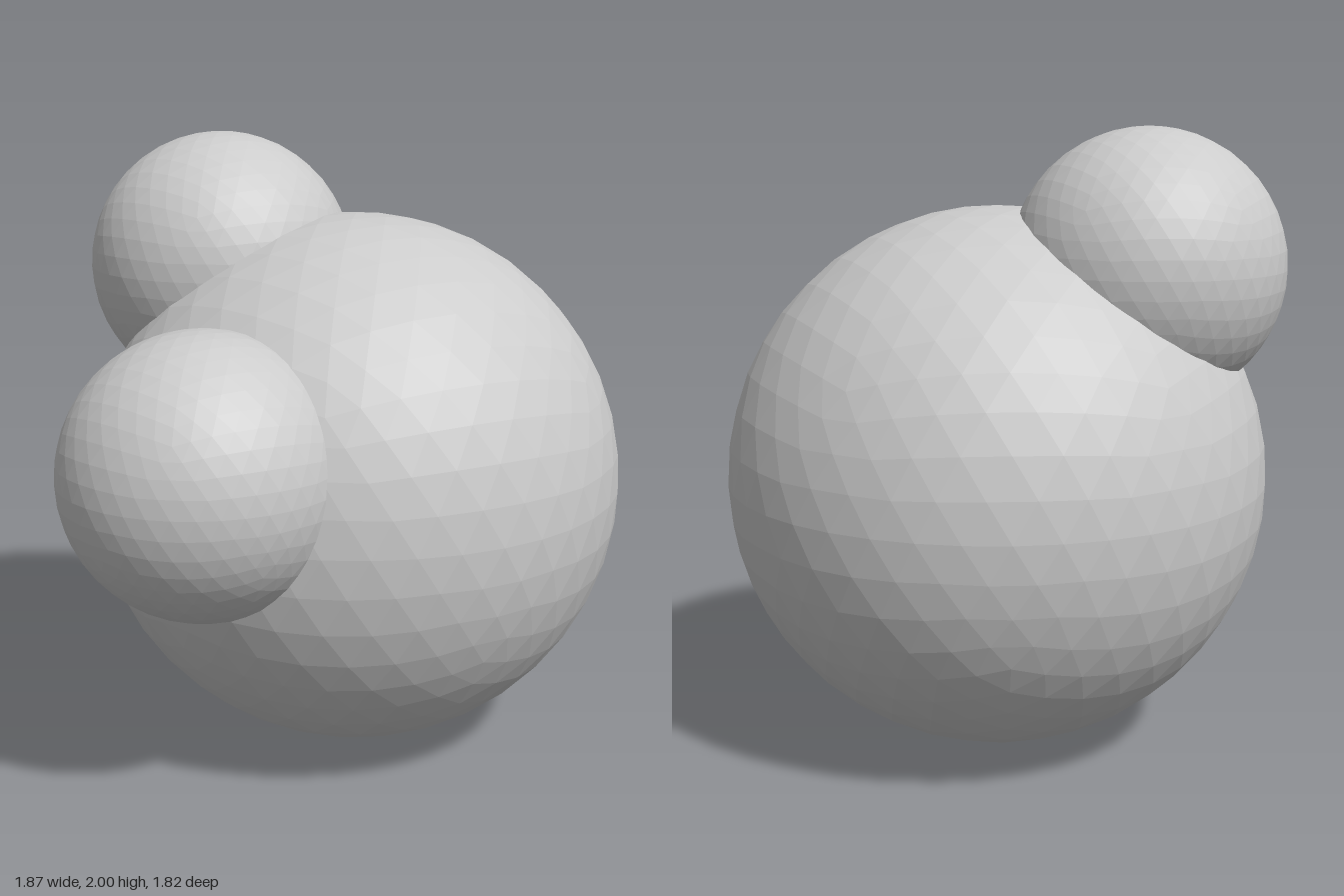
import * as THREE from 'three';

const material = new THREE.MeshStandardMaterial({ color: 0xcccccc, flatShading: true });

// Faceted ball whose icosahedron stands on a corner, so a pole points up
function ball(name, radius, x, y, z) {
  const geometry = new THREE.IcosahedronGeometry(radius, 7);
  geometry.rotateZ(Math.atan(2 / (1 + Math.sqrt(5))));
  geometry.computeVertexNormals();
  const mesh = new THREE.Mesh(geometry, material);
  mesh.name = name;
  mesh.position.set(x, y, z);
  return mesh;
}

export function createModel() {
  const model = new THREE.Group();
  model.name = 'molecule';

  // Large central atom with two half-size atoms sunk into it
  model.add(ball('largeAtom', 0.874, 0.06, 0.877, -0.038));
  model.add(ball('upperSmallAtom', 0.436, -0.343, 1.564, -0.304));
  model.add(ball('frontSmallAtom', 0.436, -0.503, 1.05, 0.474));

  return model;
}
